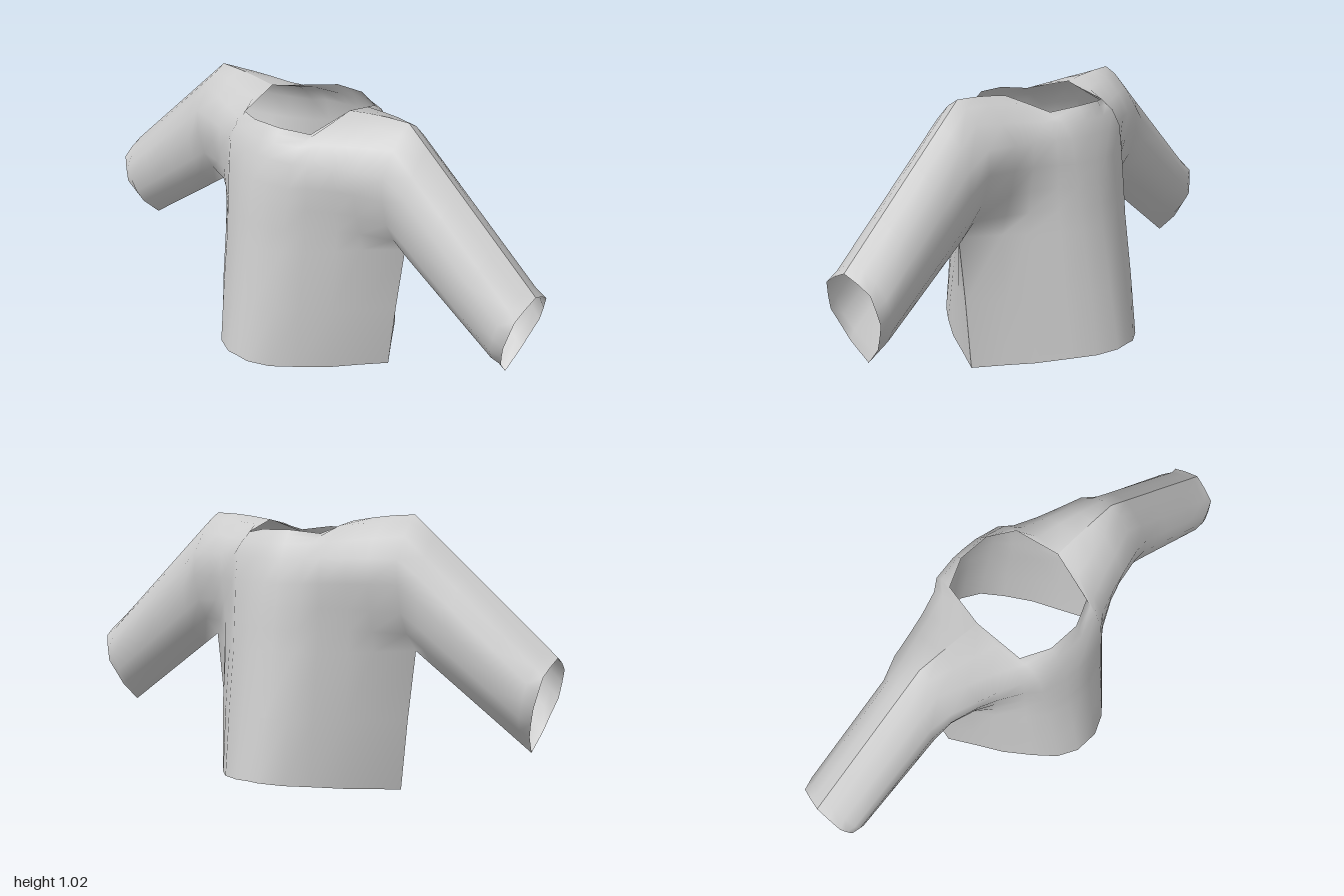
import * as THREE from 'three';
import { mergeGeometries, mergeVertices } from 'three/addons/utils/BufferGeometryUtils.js';

const lerp = THREE.MathUtils.lerp;

// Torso half panel: seven columns from the middle outwards, ten rows from hem to neck
const HEM_X = [0, 0.05, 0.13, 0.2, 0.28, 0.34, 0.4];
const TOP_X = [0, 0.06, 0.16, 0.19, 0.28, 0.36, 0.45];
const DROP = [0, 0.02, 0.12, 0.28, 0.53, 0.75, 1];
const MIDDLE_Y = [0.068, 0.3, 0.53, 0.62, 0.7, 0.78, 0.87, 0.92];
const EDGE_Y = [0, 0.27, 0.53, 0.6, 0.68, 0.78, 0.87, 0.95];
const EDGE_X = [0.405, 0.43, 0.46, 0.46, 0.459, 0.458, 0.456, 0.454, 0.452, 0.45];
const SHOULDER_Y = [0.95, 0.95, 0.94, 0.984, 0.993, 1.0, 1.0];
const NECK_Y = [0.97, 0.97, 0.957, 1.0, 1.013, 1.021, 1.025];
const DEPTH = [
  [0.42, 0.42, 0.38, 0.305, 0.205, 0.105, 0],
  [0.385, 0.38, 0.35, 0.287, 0.2, 0.115, 0],
  [0.347, 0.342, 0.315, 0.26, 0.178, 0.105, 0],
  [0.337, 0.332, 0.305, 0.25, 0.178, 0.125, 0.075],
  [0.325, 0.32, 0.295, 0.245, 0.185, 0.15, 0.12],
  [0.312, 0.308, 0.285, 0.245, 0.2, 0.172, 0.147],
  [0.29, 0.288, 0.27, 0.235, 0.2, 0.177, 0.147],
  [0.263, 0.26, 0.235, 0.185, 0.15, 0.125, 0.09],
  [0.245, 0.245, 0.205, 0.1, 0.082, 0.063, 0.042],
  [0.23, 0.23, 0.18, 0, 0, 0, 0],
];

// Sleeve: full section and cuff edge, from the lower seam to the upper seam
const SLEEVE_Z = [0, 0.08, 0.117, 0.13, 0.126, 0.09, 0.043, 0];
const CUFF = [
  [0.915, 0.21, 0], [0.932, 0.28, 0.065], [0.945, 0.33, 0.09], [0.963, 0.39, 0.118],
  [0.976, 0.445, 0.112], [0.987, 0.495, 0.102], [0.994, 0.525, 0.055], [1, 0.55, 0],
];

function torsoColumn(c) {
  return DEPTH.map((row, r) => {
    const x = c === 6 ? EDGE_X[r] : lerp(HEM_X[c], TOP_X[c], r / 9);
    const y = r === 9 ? NECK_Y[c] : r === 8 ? SHOULDER_Y[c] : lerp(MIDDLE_Y[r], EDGE_Y[r], DROP[c]);
    return [x, y, row[c]];
  });
}

function sleeveColumns() {
  const armhole = torsoColumn(6).slice(2);
  return [0, 0.15, 0.4, 0.7, 0.93, 1].map((s) => armhole.map((p, i) => {
    const z = s === 0 ? p[2] : s === 1 ? CUFF[i][2] : SLEEVE_Z[i];
    return [lerp(p[0], CUFF[i][0], s), lerp(p[1], CUFF[i][1], s), z];
  }));
}

const mirror = (columns) => columns.map((col) => col.map(([x, y, z]) => [-x, y, z])).reverse();

// Sheet through columns that run from -x to +x, each listed upwards
function sheet(columns) {
  const rows = columns[0].length;
  const index = [];
  for (let c = 0; c < columns.length - 1; c++) {
    for (let r = 0; r < rows - 1; r++) {
      const a = c * rows + r;
      const b = a + rows;
      index.push(a, b, b + 1, a, b + 1, a + 1);
    }
  }
  const g = new THREE.BufferGeometry();
  g.setAttribute('position', new THREE.Float32BufferAttribute(columns.flat(2), 3));
  g.setIndex(index);
  return g;
}

export function createModel() {
  const fabric = new THREE.MeshStandardMaterial({ color: 0xcccccc, side: THREE.DoubleSide });
  fabric.name = 'light grey fabric';

  // One smooth panel: torso with both sleeves
  const half = HEM_X.map((_, c) => torsoColumn(c));
  const sleeve = sleeveColumns();
  const panel = mergeVertices(mergeGeometries([
    sheet([...mirror(half.slice(1)), ...half]),
    sheet(sleeve),
    sheet(mirror(sleeve)),
  ]));
  panel.computeVertexNormals();

  // Front and back meet in a sharp seam at the sides, shoulders and sleeves
  const shirt = new THREE.Group();
  shirt.name = 'shirt';
  ['frontPanel', 'backPanel'].forEach((name, i) => {
    const mesh = new THREE.Mesh(panel, fabric);
    mesh.name = name;
    mesh.rotation.y = i * Math.PI;
    shirt.add(mesh);
  });
  return shirt;
}
